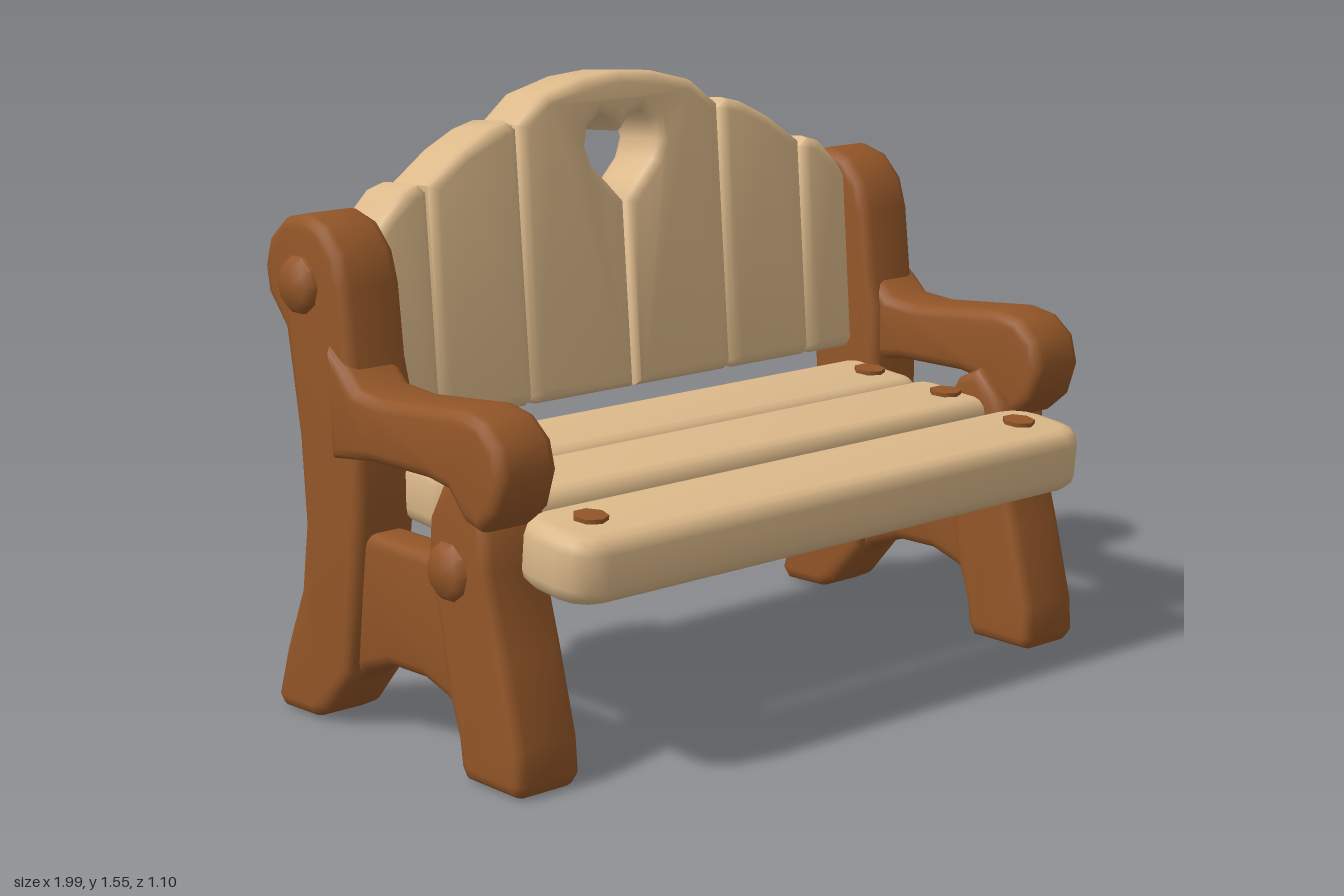
import * as THREE from 'three';
import { toCreasedNormals } from 'three/addons/utils/BufferGeometryUtils.js';

const paleWood = new THREE.MeshStandardMaterial({ name: 'paleWood', color: 0xdcb98a });
const brownWood = new THREE.MeshStandardMaterial({ name: 'brownWood', color: 0x935628 });

// Softly bevelled slab of an outline, centred on its thickness (local z)
function slab(points, thickness, bevel) {
  const shape = new THREE.Shape(points.map(([x, y]) => new THREE.Vector2(x, y)));
  const geo = new THREE.ExtrudeGeometry(shape, {
    depth: thickness - 2 * bevel, bevelThickness: bevel, bevelSize: bevel,
    bevelOffset: -bevel, bevelSegments: 3,
  });
  geo.translate(0, 0, bevel - thickness / 2);
  return geo;
}

function addMesh(parent, name, geo, material) {
  const mesh = new THREE.Mesh(geo, material);
  mesh.name = name;
  parent.add(mesh);
  return mesh;
}

// Side frame outlines as [-z, y], with inner and outer x
const frameParts = {
  rearPost: { x: [0.785, 0.965], pts: [
    [0.385, 0.004], [0.52, 0], [0.546, 0.03], [0.5, 0.17], [0.43, 0.33], [0.405, 0.5], [0.42, 0.72],
    [0.465, 0.98], [0.535, 1.06], [0.547, 1.13], [0.525, 1.2], [0.46, 1.255], [0.38, 1.272],
    [0.3, 1.25], [0.24, 1.19], [0.215, 1.11], [0.195, 0.93], [0.172, 0.85], [0.172, 0.56],
    [0.2, 0.36], [0.225, 0.15], [0.33, 0.03]] },
  frontLeg: { x: [0.77, 0.962], pts: [
    [-0.41, 0], [-0.225, 0], [-0.205, 0.03], [-0.195, 0.1], [-0.16, 0.2], [-0.125, 0.38],
    [-0.09, 0.5], [-0.1, 0.62], [-0.15, 0.705], [-0.22, 0.74], [-0.31, 0.66], [-0.315, 0.52],
    [-0.37, 0.33], [-0.425, 0.12], [-0.432, 0.03]] },
  armrest: { x: [0.81, 0.983], pts: [
    [-0.41, 0.76], [-0.38, 0.67], [-0.32, 0.62], [-0.26, 0.635], [-0.2, 0.7], [-0.12, 0.712],
    [0.1, 0.71], [0.26, 0.69], [0.27, 0.97], [0.195, 0.92], [0.15, 0.878], [0.04, 0.87],
    [-0.13, 0.885], [-0.25, 0.896], [-0.33, 0.882], [-0.39, 0.835]] },
  legBrace: { x: [0.81, 0.935], pts: [
    [-0.25, 0.08], [-0.17, 0.135], [-0.12, 0.17], [-0.03, 0.197], [0.1, 0.195], [0.2, 0.16],
    [0.3, 0.08], [0.3, 0.51], [-0.2, 0.51]] },
};

function sideFrame(side) {
  const frame = new THREE.Group();
  frame.name = side > 0 ? 'leftFrame' : 'rightFrame';
  for (const [name, { x, pts }] of Object.entries(frameParts)) {
    const geo = slab(pts, x[1] - x[0], 0.03).rotateY(Math.PI / 2);
    geo.translate(side * (x[0] + x[1]) / 2, 0, 0);
    addMesh(frame, name, toCreasedNormals(geo, 0.9), brownWood);
  }
  // Domed wooden pegs on the outer faces
  for (const [name, y, z, outer] of [['upperPeg', 1.1, -0.385, 0.997], ['lowerPeg', 0.5, 0.18, 0.987]]) {
    const profile = [[0.075, -0.09], [0.072, -0.022], [0.055, -0.004], [0, 0]];
    const geo = new THREE.LatheGeometry(profile.map(([r, h]) => new THREE.Vector2(r, h)), 10);
    const peg = addMesh(frame, name, toCreasedNormals(geo, 0.8), brownWood);
    peg.rotation.z = -side * Math.PI / 2;
    peg.position.set(side * outer, y, z);
  }
  return frame;
}

// Seat plank with rounded corners and a bolt through each end
function plank(name, halfWidth, depth, thickness, corner, y, z, tilt, boltZ) {
  const group = new THREE.Group();
  group.name = name;
  const pts = [];
  [[1, 1], [-1, 1], [-1, -1], [1, -1]].forEach(([sx, sy], i) => {
    for (let k = 0; k <= 3; k++) {
      const a = (i + k / 3) * Math.PI / 2;
      pts.push([sx * (halfWidth - corner) + corner * Math.cos(a),
        sy * (depth / 2 - corner) + corner * Math.sin(a)]);
    }
  });
  const geo = slab(pts, thickness, 0.04).rotateX(-Math.PI / 2);
  addMesh(group, 'board', toCreasedNormals(geo, 0.9), paleWood);
  for (const side of [-1, 1]) {
    const bolt = addMesh(group, 'bolt', new THREE.CylinderGeometry(0.043, 0.043, thickness + 0.022, 7), brownWood);
    bolt.position.set(side * 0.73, 0, boltZ - z);
  }
  group.position.set(0, y, z);
  group.rotation.x = tilt;
  return group;
}

// Backrest of upright boards, leaning back
function backrest() {
  const back = new THREE.Group();
  back.name = 'backrest';
  const base = 0.72;
  const addBoard = (name, pts) => {
    const geo = slab(pts.map(([x, y]) => [x, y - base]), 0.18, 0.03);
    addMesh(back, name, toCreasedNormals(geo, 0.9), paleWood);
  };

  // Centre board: a groove runs up from the bottom into the heart opening
  const half = [
    [0.002, 1.21], [0.05, 1.26], [0.1, 1.31], [0.12, 1.36], [0.108, 1.41], [0.07, 1.437], [0.03, 1.425]];
  const rim = [[0.002, base], [0.32, base], [0.341, base + 0.02], [0.341, 1.435], [0.25, 1.505], [0.12, 1.538]];
  const flip = (pts) => pts.map(([x, y]) => [-x, y]);
  addBoard('centreBoard', [
    ...rim, [0, 1.547], ...flip(rim).reverse(),
    ...flip(half), [0, 1.39], ...half.slice().reverse()]);

  // Two stepped boards on each side
  const middle = [
    [0.362, base], [0.61, base], [0.632, base + 0.02], [0.632, 1.31], [0.52, 1.388],
    [0.43, 1.432], [0.37, 1.447], [0.341, 1.425], [0.341, base + 0.02]];
  const outer = [
    [0.652, base], [0.78, base], [0.802, base + 0.02], [0.802, 1.2], [0.765, 1.248],
    [0.705, 1.305], [0.66, 1.318], [0.632, 1.295], [0.632, base + 0.02]];
  for (const side of [-1, 1]) {
    addBoard('middleBoard', side > 0 ? middle : flip(middle));
    addBoard('outerBoard', side > 0 ? outer : flip(outer));
  }
  back.position.set(0, base, -0.35);
  back.rotation.x = -0.075;
  return back;
}

export function createModel() {
  const bench = new THREE.Group();
  bench.name = 'bench';
  bench.add(sideFrame(1), sideFrame(-1), backrest());
  bench.add(plank('frontPlank', 0.87, 0.265, 0.165, 0.09, 0.55, 0.415, 0.1, 0.41));
  bench.add(plank('middlePlank', 0.82, 0.275, 0.16, 0.05, 0.59, 0.122, 0.05, 0.15));
  bench.add(plank('rearPlank', 0.82, 0.27, 0.165, 0.05, 0.602, -0.153, 0.08, -0.14));
  return bench;
}
